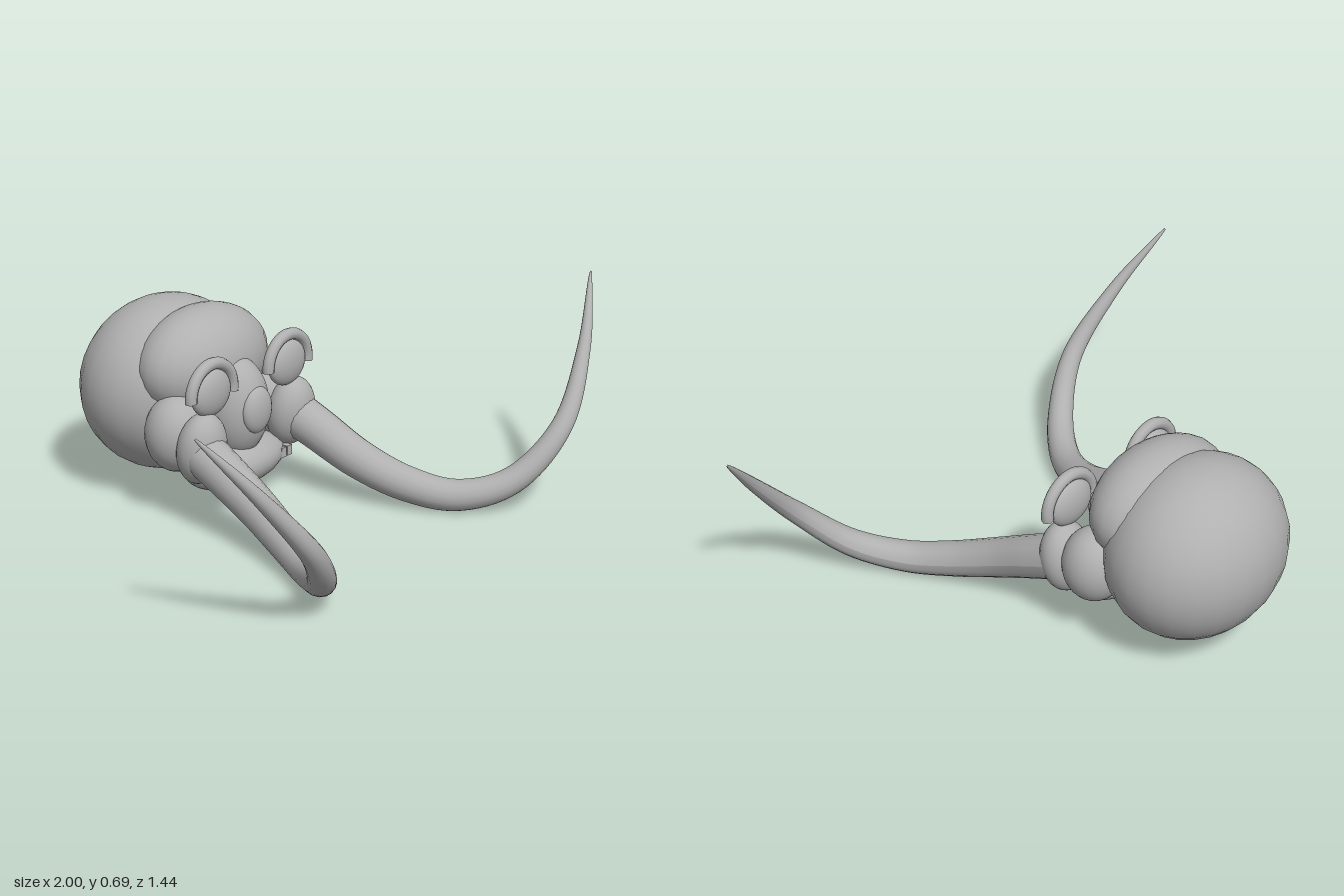
import * as THREE from 'three';

export function createModel() {
  const model = new THREE.Group();
  const bone = new THREE.MeshStandardMaterial({ color: 0xb0b0b0 });
  bone.name = 'bone grey';

  function add(name, geometry, position = [0, 0, 0]) {
    const mesh = new THREE.Mesh(geometry, bone);
    mesh.name = name;
    mesh.position.set(...position);
    model.add(mesh);
    return mesh;
  }

  // Rounded skull masses are scaled spheres
  function ellipsoid(name, position, radii) {
    return add(name, new THREE.SphereGeometry(1, 24, 18).scale(...radii), position);
  }

  ellipsoid('cranium', [0, 0.352, -0.446], [0.32, 0.294, 0.27]);
  ellipsoid('forehead', [0, 0.46, -0.29], [0.267, 0.186, 0.17]);
  ellipsoid('muzzle', [0, 0.33, -0.145], [0.11, 0.17, 0.105]);
  ellipsoid('nasalOpening', [0, 0.337, -0.06], [0.066, 0.08, 0.035]);
  ellipsoid('lowerJaw', [0, 0.14, -0.155], [0.215, 0.082, 0.117]);

  // Tapered tube: each ring is pulled toward its centre on the curve
  function taperedTube(curve, segments, sides, radiusAt) {
    const geometry = new THREE.TubeGeometry(curve, segments, 1, sides);
    const p = geometry.attributes.position;
    const v = new THREE.Vector3();
    for (let i = 0; i <= segments; i++) {
      const centre = curve.getPointAt(i / segments);
      for (let j = 0; j <= sides; j++) {
        const k = i * (sides + 1) + j;
        v.fromBufferAttribute(p, k).sub(centre).multiplyScalar(radiusAt(i / segments)).add(centre);
        p.setXYZ(k, v.x, v.y, v.z);
      }
    }
    geometry.computeVertexNormals();
    return geometry;
  }

  const tuskPath = [
    [0.235, 0.25, -0.08], [0.243, 0.215, 0], [0.262, 0.14, 0.16], [0.31, 0.08, 0.32],
    [0.385, 0.055, 0.47], [0.5, 0.105, 0.605], [0.65, 0.265, 0.688],
    [0.83, 0.48, 0.65], [1, 0.69, 0.56],
  ];

  for (const [side, s] of [['left', 1], ['right', -1]]) {
    // Cheek and tusk socket
    ellipsoid(side + 'Cheek', [s * 0.215, 0.283, -0.215], [0.105, 0.128, 0.105]);
    const socket = ellipsoid(side + 'TuskSocket', [s * 0.225, 0.262, -0.1], [0.09, 0.122, 0.075]);
    socket.rotation.x = 0.15;

    // Eye socket with a brow arch over it
    ellipsoid(side + 'Eye', [s * 0.19, 0.443, -0.09], [0.088, 0.078, 0.035]);
    const brow = add(side + 'BrowArch', new THREE.TorusGeometry(0.1, 0.02, 10, 28, 3.35), [s * 0.19, 0.44, -0.085]);
    brow.rotation.z = -0.15;

    // Sweeping tusk
    const curve = new THREE.CatmullRomCurve3(tuskPath.map(([x, y, z]) => new THREE.Vector3(s * x, y, z)));
    add(side + 'Tusk', taperedTube(curve, 64, 16, t => 0.003 + 0.072 * Math.pow(1 - t, 0.75)));

    // Small molars
    for (const x of [0.15, 0.18]) {
      add(side + 'Molar', new THREE.BoxGeometry(0.024, 0.034, 0.045), [s * x, 0.14, -0.09]);
    }
  }
  return model;
}
